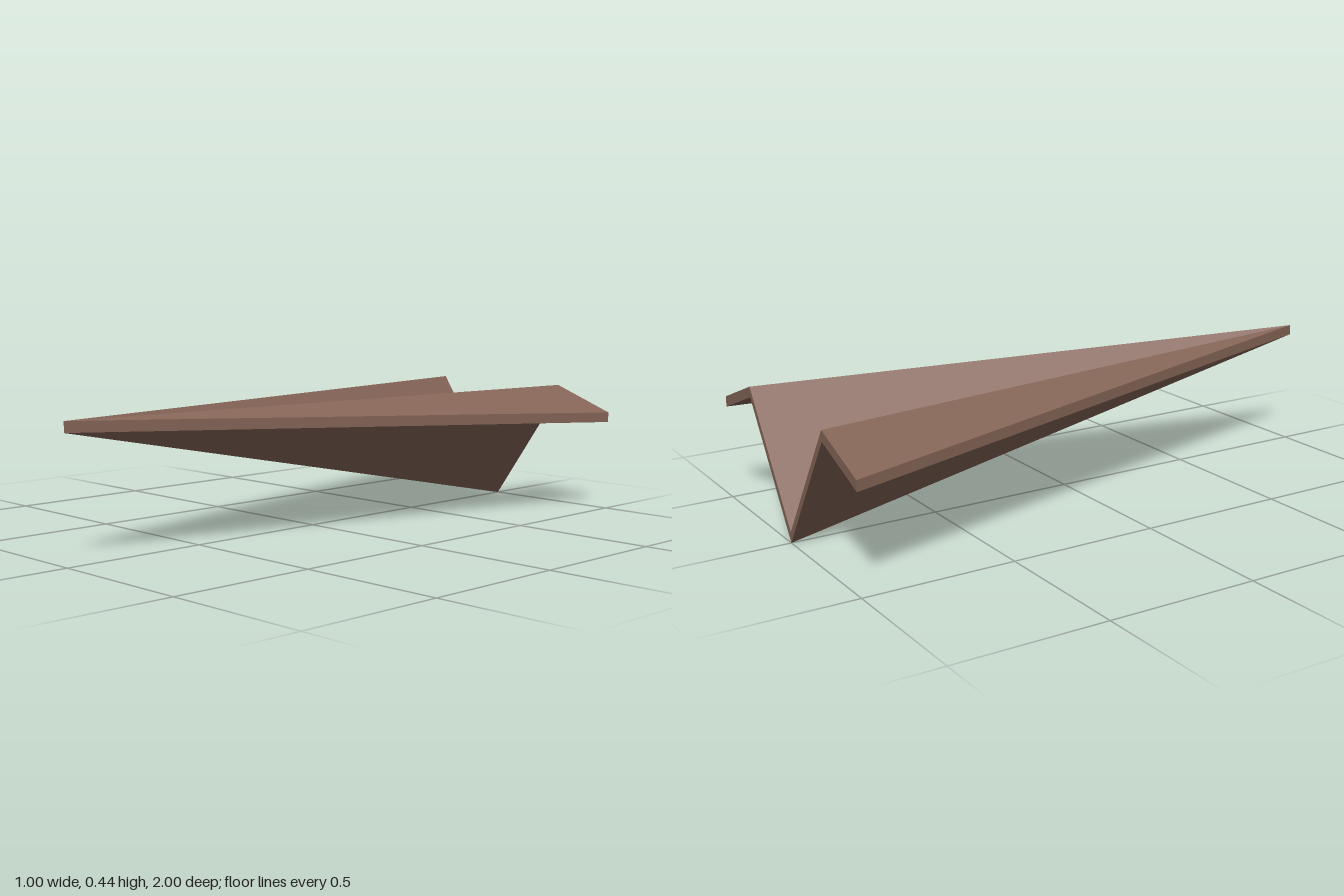
import * as THREE from 'three';

const THICKNESS = 0.035;
const NOSE = [0, 0.435, 1];
// Upper fold points along the tail, from the model's right to its left
const TAIL = [[-0.5, 0.35], [-0.275, 0.435], [0, THICKNESS], [0.275, 0.435], [0.5, 0.35]]
  .map(([x, y]) => [x, y, -1]);
const NAMES = ['rightWing', 'rightKeelWall', 'leftKeelWall', 'leftWing'];

const below = ([x, y, z]) => [x, y - THICKNESS, z];

// One folded sheet panel: a thick triangle from the nose to two tail points
function panelGeometry(a, b, openEdge) {
  const n = below(NOSE), a2 = below(a), b2 = below(b);
  const corners = [NOSE, b, a, n, a2, b2];            // upper and lower faces
  const quad = (p, q, r, s) => corners.push(p, q, r, p, r, s);
  quad(a, b, b2, a2);                                 // tail edge
  if (openEdge === 'right') quad(NOSE, a, a2, n);     // wing's outer edge
  if (openEdge === 'left') quad(NOSE, n, b2, b);
  const geometry = new THREE.BufferGeometry();
  geometry.setAttribute('position', new THREE.Float32BufferAttribute(corners.flat(), 3));
  geometry.computeVertexNormals();
  return geometry;
}

export function createModel() {
  const group = new THREE.Group();
  group.name = 'paperPlane';
  const paper = new THREE.MeshStandardMaterial({ color: 0x856557 });
  paper.name = 'brownPaper';

  NAMES.forEach((name, i) => {
    const edge = i === 0 ? 'right' : i === 3 ? 'left' : null;
    const panel = new THREE.Mesh(panelGeometry(TAIL[i], TAIL[i + 1], edge), paper);
    panel.name = name;
    group.add(panel);
  });
  return group;
}
